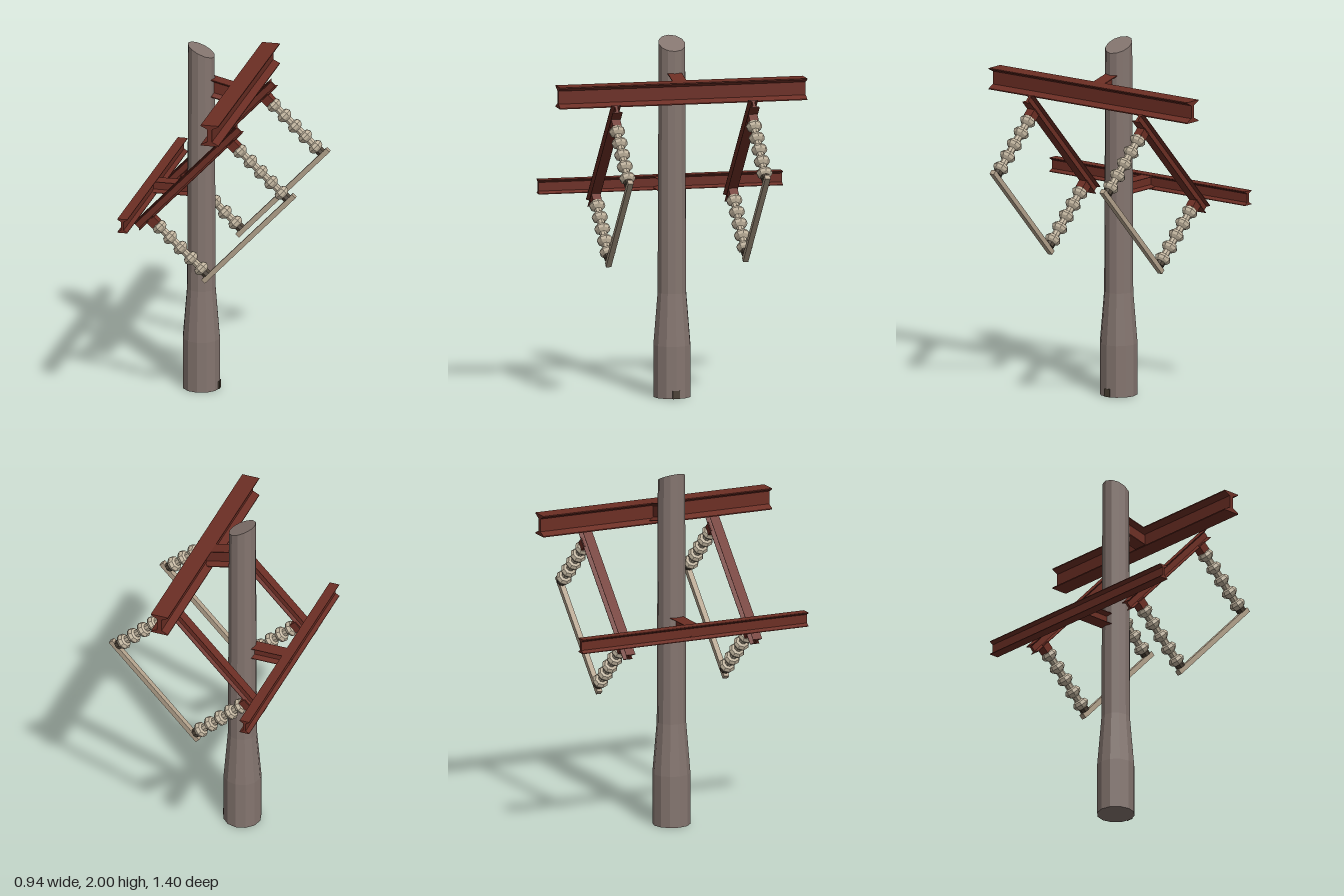
import * as THREE from 'three';

const mat = (name, color) => new THREE.MeshStandardMaterial({ name, color, flatShading: true });

export function createModel() {
  const model = new THREE.Group();
  model.name = 'utilityPole';
  const wood = mat('weathered wood', 0x84756f);
  const steel = mat('rust red steel', 0x6c2e24);
  const ceramic = mat('cream ceramic', 0xc2b59f);
  const rodMetal = mat('tan rod', 0xb3a28c);
  const dark = mat('dark fitting', 0x4a4034);

  const add = (parent, name, geometry, material, x = 0, y = 0, z = 0) => {
    const mesh = new THREE.Mesh(geometry, material);
    mesh.name = name;
    mesh.position.set(x, y, z);
    parent.add(mesh);
    return mesh;
  };

  // I-beam along z with tapered flanges
  const iBeam = (w, h, length) => {
    const a = w / 2, b = h / 2, web = w * 0.13, tip = h * 0.05, root = h * 0.2;
    const quarter = [[a, b], [a, b - tip], [web, b - root]];
    const flip = (sx, sy, list) => list.map(([x, y]) => new THREE.Vector2(x * sx, y * sy));
    const back = [...quarter].reverse();
    const outline = [
      ...flip(1, 1, quarter), ...flip(1, -1, back),
      ...flip(-1, -1, quarter), ...flip(-1, 1, back),
    ];
    const g = new THREE.ExtrudeGeometry(new THREE.Shape(outline), { depth: length, bevelEnabled: false });
    return g.translate(0, 0, -length / 2);
  };

  // Pole: flared foot, slanted cut at the top
  const poleGeo = new THREE.LatheGeometry([
    [0, 0], [0.105, 0], [0.105, 0.29], [0.081, 0.58], [0.075, 1.95], [0, 1.95],
  ].map(([r, y]) => new THREE.Vector2(r, y)), 12);
  const p = poleGeo.attributes.position;
  for (let i = 0; i < p.count; i++) {
    if (p.getY(i) > 1.9) p.setY(i, 1.965 - 0.47 * p.getX(i));
  }
  add(model, 'pole', poleGeo, wood, -0.17, 0, 0);
  add(model, 'footTag', new THREE.BoxGeometry(0.008, 0.045, 0.04), dark, -0.068, 0.0225, 0);

  // Cross beams and the brackets that tie them to the pole
  add(model, 'upperBeam', iBeam(0.1, 0.12, 1.4), steel, 0.05, 1.723, 0);
  add(model, 'lowerBeam', iBeam(0.056, 0.08, 1.38), steel, -0.447, 1.15, 0);
  const upperBracket = add(model, 'upperBracket', iBeam(0.08, 0.1, 0.2).rotateY(Math.PI / 2), steel, -0.055, 1.745, 0);
  upperBracket.rotation.z = -0.23;
  add(model, 'lowerBracket', iBeam(0.08, 0.066, 0.22).rotateY(Math.PI / 2), steel, -0.345, 1.153, 0);

  // Ribbed insulator hanging along -y
  const ribs = [];
  for (let i = 4; i >= 0; i--) {
    const y = -0.088 - i * 0.081;
    ribs.push([0.022, y - 0.03], [0.04, y - 0.016], [0.046, y], [0.036, y + 0.018], [0.022, y + 0.024]);
  }
  const profile = [[0, -0.445], [0.022, -0.445], ...ribs, [0.022, -0.05], [0, -0.05]];
  const insulatorGeo = new THREE.LatheGeometry(profile.map(([r, y]) => new THREE.Vector2(r, y)), 8);

  // Two tilted frames: diagonal beam, two insulators and a rod across their ends
  const length = 0.84;
  for (const [side, z] of [['left', 0.388], ['right', -0.388]]) {
    const frame = new THREE.Group();
    frame.name = side === 'left' ? 'frontFrame' : 'rearFrame';
    frame.position.set(-0.437, 1.05, z);
    frame.rotation.z = 0.813;
    add(frame, 'diagonalBeam', iBeam(0.056, 0.052, length).rotateY(Math.PI / 2), steel, length / 2, 0, 0);
    for (const x of [0.09, 0.752]) {
      add(frame, 'insulatorMount', new THREE.BoxGeometry(0.055, 0.05, 0.05), steel, x, -0.043, 0);
      add(frame, 'insulator', insulatorGeo, ceramic, x, 0, 0);
      add(frame, 'insulatorCap', new THREE.CylinderGeometry(0.027, 0.027, 0.025, 8), dark, x, -0.448, 0);
    }
    add(frame, 'conductorRod', new THREE.BoxGeometry(0.745, 0.028, 0.03), rodMetal, 0.421, -0.473, 0);
    model.add(frame);
  }
  return model;
}
